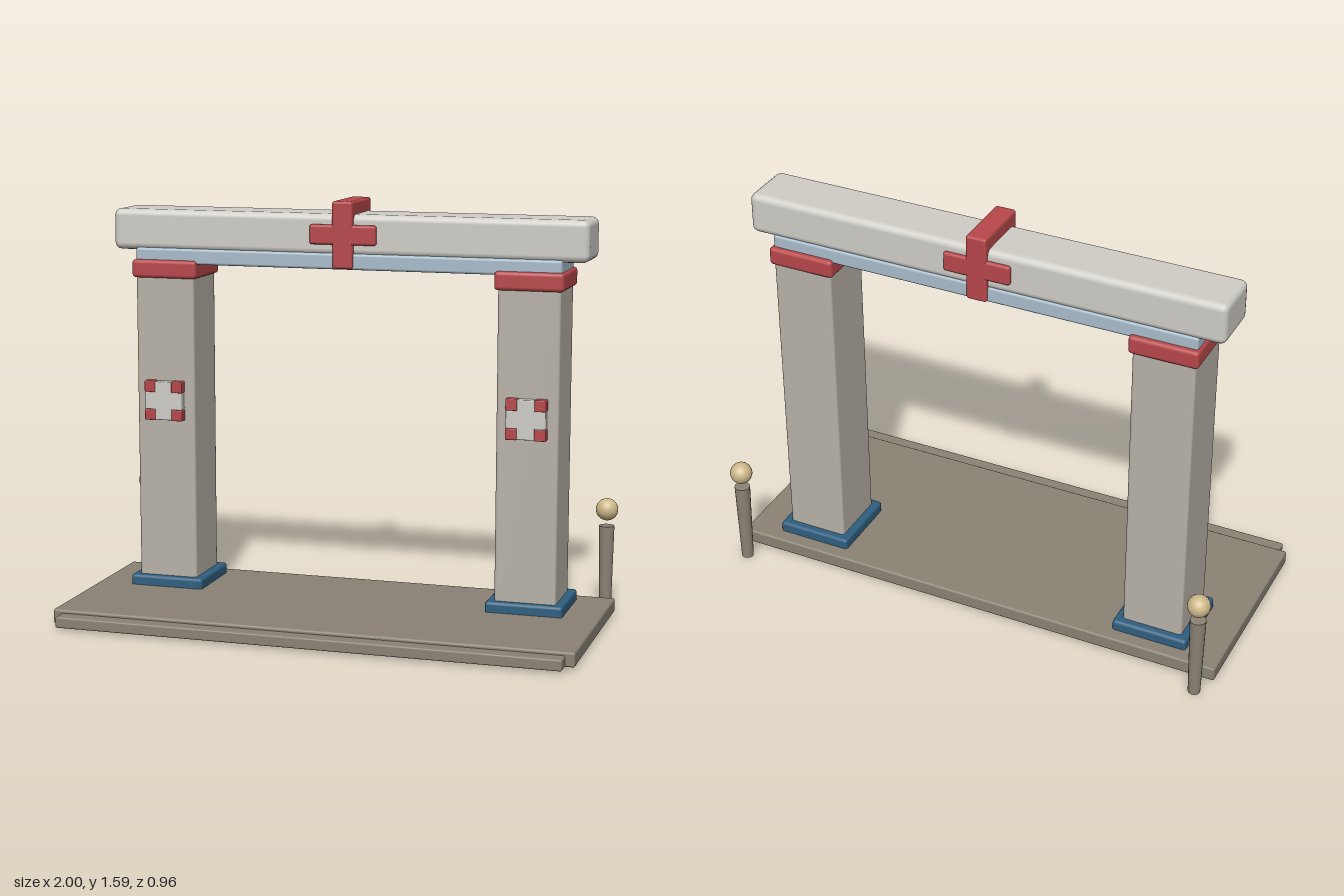
import * as THREE from 'three';
import { RoundedBoxGeometry } from 'three/addons/geometries/RoundedBoxGeometry.js';

const mat = (color) => new THREE.MeshStandardMaterial({ color });

export function createModel() {
  const model = new THREE.Group();
  model.name = 'gateway';
  const stone = mat(0xcfcdc6), pillarStone = mat(0xb8b2a8), floorStone = mat(0x8a8275);
  const red = mat(0xb8474a), blue = mat(0x2f5f80), paleBlue = mat(0xa9bccb), tan = mat(0xcdb88a);

  // Rounded block given by its lower and upper limits
  function block(name, material, [x0, x1], [y0, y1], [z0, z1], radius, parent = model) {
    const geometry = new RoundedBoxGeometry(x1 - x0, y1 - y0, z1 - z0, 2, radius);
    const mesh = new THREE.Mesh(geometry, material);
    mesh.name = name;
    mesh.position.set((x0 + x1) / 2, (y0 + y1) / 2, (z0 + z1) / 2);
    parent.add(mesh);
    return mesh;
  }
  const around = (c, half) => [c - half, c + half];

  // Floor slab and front step
  block('floor', floorStone, [-1, 1], [0.01, 0.065], [-0.37, 0.42], 0.008);
  block('frontStep', floorStone, [-0.965, 0.965], [0.01, 0.052], [0.38, 0.48], 0.006);

  for (const side of [-1, 1]) {
    const label = side > 0 ? 'left' : 'right';
    const px = side * 0.715;

    // Pillar with foot and capital
    const pillar = new THREE.Group();
    pillar.name = label + 'Pillar';
    model.add(pillar);
    block('foot', blue, around(px, 0.148), [0.03, 0.105], [-0.315, -0.02], 0.012, pillar);
    block('shaft', pillarStone, around(px, 0.118), [0.05, 1.3], [-0.284, -0.045], 0.012, pillar);
    block('capital', red, around(px, 0.131), [1.28, 1.35], [-0.297, -0.033], 0.014, pillar);

    // Plaque: pale cross with red squares in its corners
    const plaque = new THREE.Group();
    plaque.name = label + 'Plaque';
    model.add(plaque);
    const z = [-0.055, -0.013];
    block('crossUpright', stone, around(px, 0.034), around(0.806, 0.075), z, 0.004, plaque);
    block('crossArm', stone, around(px, 0.075), around(0.806, 0.034), z, 0.004, plaque);
    for (const i of [-1, 1]) for (const j of [-1, 1]) {
      block('plaqueCorner', red, around(px + i * 0.055, 0.022), around(0.806 + j * 0.055, 0.022), z, 0.004, plaque);
    }

    // Bollard with a ball floating above it
    const bollard = new THREE.Group();
    bollard.name = label + 'Bollard';
    bollard.position.set(side * 0.95, 0, -0.438);
    const post = new THREE.Mesh(new THREE.CylinderGeometry(0.03, 0.023, 0.333, 20), floorStone);
    post.name = 'post';
    post.position.y = 0.1665;
    const ball = new THREE.Mesh(new THREE.SphereGeometry(0.043, 24, 16), tan);
    ball.name = 'ball';
    ball.position.y = 0.397;
    bollard.add(post, ball);
    model.add(bollard);
  }

  // Lintel strip and top beam
  block('lintel', paleBlue, [-0.835, 0.835], [1.335, 1.395], [-0.277, -0.05], 0.01);
  block('beam', stone, [-0.93, 0.93], [1.385, 1.542], [-0.275, -0.06], 0.026);

  // Cross wrapped through the middle of the beam
  const cross = new THREE.Group();
  cross.name = 'beamCross';
  model.add(cross);
  block('upright', red, [-0.04, 0.04], [1.338, 1.592], [-0.291, -0.04], 0.01, cross);
  block('arm', red, [-0.13, 0.13], [1.428, 1.503], [-0.29, -0.041], 0.01, cross);

  return model;
}
